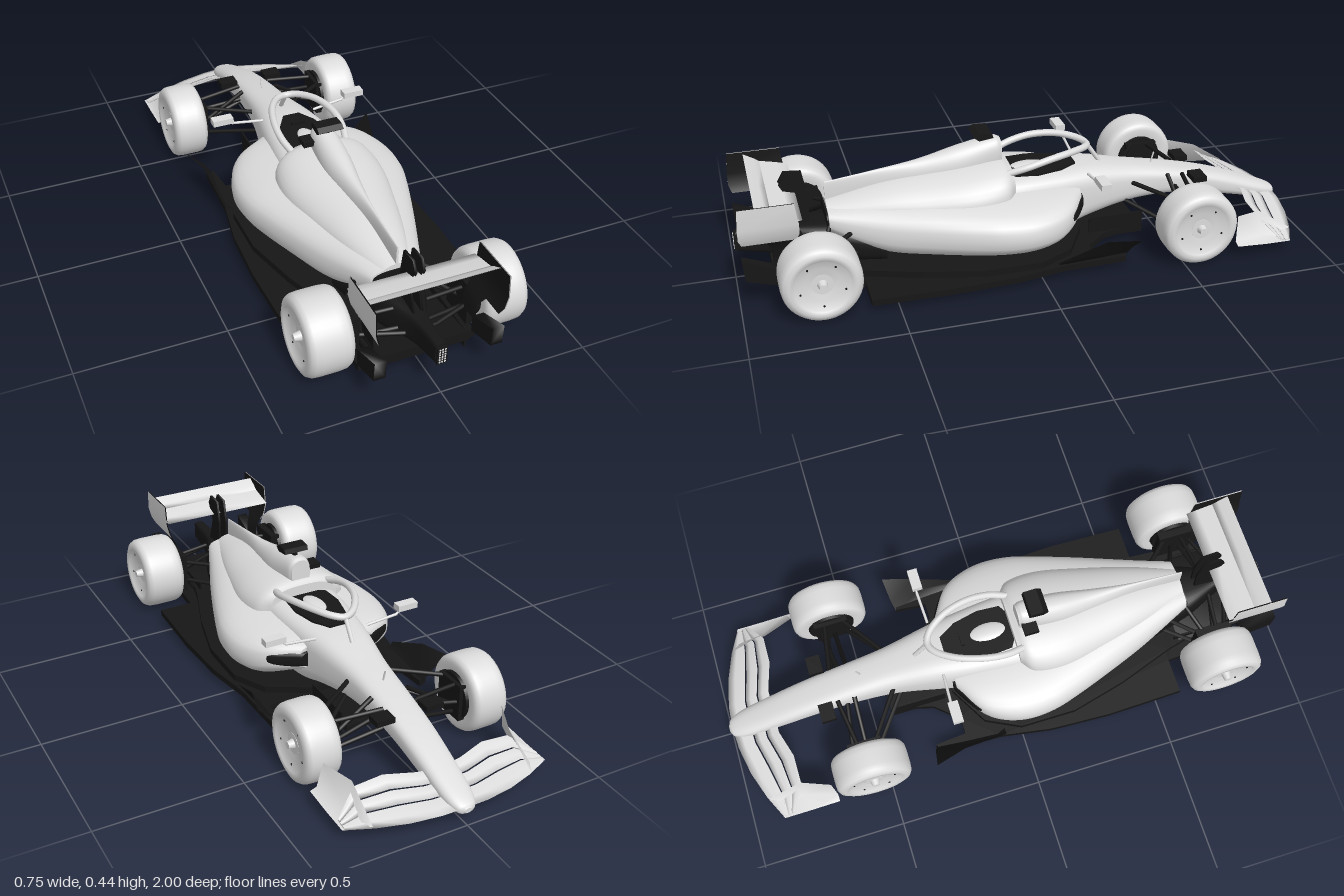
import * as THREE from 'three';

const V = (x, y, z) => new THREE.Vector3(x, y, z);
const SIDES = [1, -1];

export function createModel() {
  const car = new THREE.Group();
  const light = new THREE.MeshStandardMaterial({ color: 0xdcdcdc, side: THREE.DoubleSide });
  light.name = 'pale bodywork';
  const dark = new THREE.MeshStandardMaterial({ color: 0x161616, side: THREE.DoubleSide });
  dark.name = 'black carbon';

  const add = (name, geometry, material) => {
    const mesh = new THREE.Mesh(geometry, material);
    mesh.name = name;
    car.add(mesh);
    return mesh;
  };
  const box = (name, w, h, d, x, y, z, material) =>
    add(name, new THREE.BoxGeometry(w, h, d).translate(x, y, z), material);

  // Closed skin over a row of rings, capped at both ends and wound outwards
  function skin(rings) {
    const n = rings[0].length, pos = [], idx = [];
    const all = [...rings, rings[0], rings.at(-1)];
    all.forEach(r => r.forEach(p => pos.push(p.x, p.y, p.z)));
    for (let i = 0; i < rings.length - 1; i++)
      for (let j = 0; j < n; j++) {
        const a = i * n + j, b = i * n + (j + 1) % n;
        idx.push(a, b, b + n, a, b + n, a + n);
      }
    const s = rings.length * n;
    for (let j = 1; j < n - 1; j++) idx.push(s, s + j + 1, s + j, s + n, s + n + j, s + n + j + 1);
    const at = k => V(pos[3 * k], pos[3 * k + 1], pos[3 * k + 2]);
    let volume = 0;
    for (let k = 0; k < idx.length; k += 3)
      volume += at(idx[k]).dot(at(idx[k + 1]).cross(at(idx[k + 2])));
    if (volume < 0) idx.reverse();
    const g = new THREE.BufferGeometry();
    g.setAttribute('position', new THREE.Float32BufferAttribute(pos, 3));
    g.setIndex(idx);
    g.computeVertexNormals();
    return g;
  }

  // Body loft through stations of [z, half width, bottom, top, corner exponent]
  function loft(stations, steps = 40) {
    const one = new THREE.CatmullRomCurve3(stations.map(s => V(s[0], s[1], 0)), false, 'catmullrom');
    const two = new THREE.CatmullRomCurve3(stations.map(s => V(s[2], s[3], s[4])), false, 'catmullrom');
    const pow = (v, e) => Math.sign(v) * Math.abs(v) ** e;
    const rings = [];
    for (let i = 0; i <= steps; i++) {
      const p = one.getPoint(i / steps), q = two.getPoint(i / steps), ring = [];
      for (let j = 0; j < 36; j++) {
        const a = (j / 36) * Math.PI * 2;
        ring.push(V(p.y * pow(Math.cos(a), q.z), (q.x + q.y) / 2 + ((q.y - q.x) / 2) * pow(Math.sin(a), q.z), p.x));
      }
      rings.push(ring);
    }
    return skin(rings);
  }

  // Wing through stations of [x, lead z, lead y, trail z, trail y]; from and to pick a part of the chord
  const wing = (stations, from, to, thick, bend) => skin(stations.map(([x, z0, y0, z1, y1]) => {
    const at = (f, dy) => V(x, y0 + (y1 - y0) * f ** bend + dy, z0 + (z1 - z0) * f);
    const mid = from + (to - from) * 0.4;
    return [at(from, 0), at(mid, thick), at(to, 0.001), at(to, -0.001), at(mid, -thick)];
  }));

  // Thin open sheet over rows of [x, y, z], mirrored by side
  function sheet(rows, side) {
    const n = rows[0].length, idx = [];
    for (let i = 0; i < rows.length - 1; i++)
      for (let j = 0; j < n - 1; j++) {
        const a = i * n + j;
        idx.push(a, a + 1, a + n + 1, a, a + n + 1, a + n);
      }
    const g = new THREE.BufferGeometry();
    g.setAttribute('position', new THREE.Float32BufferAttribute(rows.flat().flatMap(([x, y, z]) => [x * side, y, z]), 3));
    g.setIndex(idx);
    g.computeVertexNormals();
    return g;
  }

  const bar = (name, a, b, r, material) => add(name, new THREE.TubeGeometry(new THREE.LineCurve3(a, b), 1, r, 8), material);

  // Flat plate cut from an outline of [x, z], extruded upward from y
  function plate(outline, y, h) {
    const half = outline.map(([x, z]) => new THREE.Vector2(x, -z));
    const other = outline.map(([x, z]) => new THREE.Vector2(-x, -z)).reverse();
    return new THREE.ExtrudeGeometry(new THREE.Shape([...half, ...other]), { depth: h, bevelEnabled: false })
      .rotateX(-Math.PI / 2).translate(0, y, 0);
  }

  // Nose, chassis, sidepods, engine cover and fin
  add('noseAndChassis', loft([
    [-1, 0.012, 0.05, 0.066, 0.9], [-0.985, 0.034, 0.042, 0.08, 0.85], [-0.93, 0.05, 0.045, 0.105, 0.8],
    [-0.8, 0.058, 0.075, 0.155, 0.7], [-0.68, 0.063, 0.105, 0.192, 0.65], [-0.55, 0.068, 0.12, 0.223, 0.65],
    [-0.4, 0.079, 0.115, 0.252, 0.65], [-0.25, 0.105, 0.09, 0.278, 0.6], [-0.12, 0.125, 0.06, 0.284, 0.5],
    [0.05, 0.14, 0.06, 0.288, 0.5], [0.2, 0.13, 0.06, 0.28, 0.6]], 60), light);
  add('sidepods', loft([
    [-0.19, 0.14, 0.135, 0.235, 0.6], [-0.135, 0.23, 0.11, 0.243, 0.65], [-0.07, 0.278, 0.075, 0.25, 0.7],
    [0.02, 0.303, 0.058, 0.255, 0.75], [0.12, 0.298, 0.055, 0.258, 0.75], [0.22, 0.27, 0.055, 0.26, 0.75],
    [0.35, 0.224, 0.06, 0.26, 0.75], [0.48, 0.174, 0.07, 0.256, 0.75], [0.58, 0.132, 0.105, 0.252, 0.75],
    [0.68, 0.09, 0.165, 0.243, 0.7]], 54), light);
  add('sidepodIntakes', loft([
    [-0.198, 0.136, 0.15, 0.212, 0.5], [-0.17, 0.185, 0.145, 0.215, 0.5],
    [-0.14, 0.229, 0.15, 0.21, 0.5], [-0.12, 0.24, 0.16, 0.2, 0.5]], 8), dark);
  add('engineCover', loft([
    [0.045, 0.13, 0.18, 0.325, 0.7], [0.09, 0.175, 0.13, 0.342, 0.85], [0.2, 0.185, 0.12, 0.336, 0.95],
    [0.35, 0.155, 0.13, 0.318, 1], [0.5, 0.115, 0.15, 0.296, 1], [0.68, 0.06, 0.17, 0.255, 1]]), light);
  add('airbox', loft([
    [0.068, 0.036, 0.31, 0.408, 0.8], [0.1, 0.045, 0.29, 0.414, 0.8], [0.22, 0.05, 0.25, 0.392, 0.9],
    [0.35, 0.033, 0.24, 0.362, 0.9], [0.5, 0.013, 0.23, 0.342, 0.9], [0.68, 0.004, 0.23, 0.32, 0.8]]), light);
  add('rearOutlet', loft([[0.67, 0.08, 0.176, 0.236, 0.7], [0.686, 0.084, 0.174, 0.236, 0.7]], 2), dark);

  // Cockpit with seat and steering wheel
  add('cockpitOpening', plate([[0.03, -0.2], [0.065, -0.14], [0.085, -0.05], [0.08, 0.03], [0.05, 0.048]], 0.27, 0.019), dark);
  const seat = add('seat', new THREE.SphereGeometry(1, 20, 14), light);
  seat.scale.set(0.036, 0.016, 0.07);
  seat.position.set(0, 0.282, -0.035);
  box('steeringWheel', 0.05, 0.02, 0.012, 0, 0.29, -0.13, dark);

  // Protective hoop over the cockpit
  add('halo', new THREE.TubeGeometry(new THREE.CatmullRomCurve3([
    V(0.1, 0.312, 0.065), V(0.114, 0.332, 0), V(0.11, 0.35, -0.08), V(0.082, 0.355, -0.17), V(0.035, 0.347, -0.235),
    V(0, 0.342, -0.25), V(-0.035, 0.347, -0.235), V(-0.082, 0.355, -0.17), V(-0.11, 0.35, -0.08),
    V(-0.114, 0.332, 0), V(-0.1, 0.312, 0.065)]), 60, 0.0125, 10), light);
  bar('haloPillar', V(0, 0.345, -0.248), V(0, 0.268, -0.3), 0.008, light);

  // Cameras and antenna
  add('roofCamera', skin([-0.045, 0.045].map(x =>
    [V(x, 0.427, 0.1), V(x, 0.42, 0.15), V(x, 0.434, 0.168), V(x, 0.446, 0.15), V(x, 0.444, 0.105)])).toNonIndexed(), dark)
    .geometry.computeVertexNormals();
  box('roofCameraStalk', 0.012, 0.03, 0.03, 0, 0.418, 0.12, dark);
  box('sideCamera', 0.042, 0.018, 0.05, -0.06, 0.37, 0.1, dark);
  bar('antenna', V(0, 0.235, -0.5), V(0, 0.272, -0.51), 0.003, light);

  // Floor, front tongue and diffuser
  add('floor', plate([[0.09, -0.43], [0.13, -0.28], [0.2, -0.2], [0.26, -0.2], [0.27, -0.31], [0.3, -0.3], [0.305, -0.08],
    [0.335, 0.1], [0.345, 0.32], [0.338, 0.59], [0.215, 0.59], [0.2, 0.84]], 0.02, 0.022), dark);
  add('upperFloor', plate([[0.1, -0.2], [0.24, -0.12], [0.3, 0], [0.3, 0.2], [0.25, 0.4], [0.18, 0.6], [0.13, 0.8]], 0.035, 0.03), dark);
  add('diffuser', skin([[0.6, 0.02, 0.06], [0.88, 0.055, 0.09]].map(([z, b, t]) =>
    [V(-0.16, b, z), V(0.16, b, z), V(0.16, t, z), V(-0.16, t, z)])), dark);
  add('gearbox', loft([[0.5, 0.14, 0.04, 0.16, 0.7], [0.6, 0.12, 0.04, 0.185, 0.7], [0.72, 0.085, 0.05, 0.19, 0.6],
    [0.85, 0.03, 0.08, 0.18, 0.5], [0.985, 0.02, 0.11, 0.182, 0.4]], 20), dark);

  // Rear light: a black block with rows of pale dots
  box('rearLight', 0.034, 0.062, 0.01, 0, 0.143, 0.988, dark);
  for (let i = 0; i < 3; i++)
    for (let j = 0; j < 6; j++)
      box('rearLightDot', 0.005, 0.005, 0.003, (i - 1) * 0.009, 0.12 + j * 0.0095, 0.9935, light);

  // Rear wing
  const rearSpan = [-0.214, 0, 0.214].map(x => [x, 0.778, 0.302, 0.925, 0.356]);
  add('rearWingMain', wing(rearSpan, 0, 0.64, 0.007, 2), light);
  add('rearWingFlap', wing(rearSpan, 0.62, 1, 0.004, 2), light);

  // Front wing elements
  const frontSpan = [-0.36, -0.28, -0.18, -0.08, 0, 0.08, 0.18, 0.28, 0.36].map(x => {
    const a = Math.abs(x);
    return [x, -0.99 + 0.75 * a * a, 0.062 - 0.05 * a, a < 0.1 ? -0.83 : a > 0.3 ? -0.85 : -0.8, a > 0.3 ? 0.055 : 0.1 + 0.02 * Math.sin(a * 9)];
  });
  [[0, 0.4], [0.43, 0.7], [0.73, 1]].forEach(([f, t], i) => add('frontWingElement' + (i + 1), wing(frontSpan, f, t, 0.004, 1.4), light));

  // Tyre and wheel cover profile: [radius share, offset share]
  const tyre = [[0.4, -0.9], [0.66, -0.95], [0.82, -1], [0.93, -0.9], [0.985, -0.72], [1, -0.4], [1, 0.4], [0.985, 0.72],
    [0.93, 0.9], [0.82, 1], [0.7, 0.97], [0.68, 0.86], [0.45, 0.78], [0.26, 0.72]];
  const wheel = (name, s, z, r, width) => {
    const turn = g => g.rotateZ(-s * Math.PI / 2).translate(s * (0.37 - width / 2), r + 0.002, z);
    const h = width / 2;
    add(name + 'Tyre', turn(new THREE.LatheGeometry(tyre.map(([a, b]) => new THREE.Vector2(a * r, b * h)), 48)), light);
    add(name + 'HubRecess', turn(new THREE.CylinderGeometry(0.27 * r, 0.27 * r, 0.01, 24).translate(0, 0.66 * h, 0)), light);
    add(name + 'Nut', turn(new THREE.CylinderGeometry(0.012, 0.018, 0.4 * h, 16).translate(0, 0.85 * h, 0)), light);
    add(name + 'BrakeDrum', turn(new THREE.CylinderGeometry(0.66 * r, 0.6 * r, 0.5 * h, 28).translate(0, -0.85 * h, 0)), dark);
    for (let i = 0; i < 5; i++) {
      const a = (i / 5) * Math.PI * 2;
      add(name + 'Vent', turn(new THREE.CylinderGeometry(0.0035, 0.0035, 0.004, 8)
        .translate(Math.cos(a) * r * 0.57, 0.825 * h, Math.sin(a) * r * 0.57)), dark);
    }
  };

  for (const s of SIDES) {
    wheel('rearWheel', s, 0.745, 0.134, 0.152);
    wheel('frontWheel', s, -0.552, 0.134, 0.127);

    // Suspension arms from [inner point] to [outer point]
    [[0.06, 0.2, -0.6, 0.26, 0.19, -0.57], [0.07, 0.2, -0.4, 0.26, 0.19, -0.53], [0.06, 0.13, -0.6, 0.26, 0.08, -0.57],
      [0.07, 0.13, -0.38, 0.26, 0.08, -0.53], [0.06, 0.16, -0.57, 0.26, 0.13, -0.6], [0.065, 0.21, -0.54, 0.25, 0.09, -0.55],
      [0.06, 0.175, 0.78, 0.22, 0.165, 0.76], [0.08, 0.175, 0.58, 0.22, 0.165, 0.73], [0.05, 0.11, 0.8, 0.22, 0.09, 0.76],
      [0.1, 0.1, 0.58, 0.22, 0.09, 0.73], [0.08, 0.19, 0.68, 0.21, 0.1, 0.745], [0.05, 0.13, 0.85, 0.22, 0.13, 0.79],
    ].forEach(([a, b, c, d, e, f]) => bar('suspensionArm', V(s * a, b, c), V(s * d, e, f), 0.008, dark));
    box('rearBrakeDuct', 0.035, 0.15, 0.13, s * 0.202, 0.125, 0.745, dark);
    box('frontBrakeDuct', 0.03, 0.13, 0.12, s * 0.238, 0.135, -0.552, dark);
    box('frontWinglet', 0.065, 0.02, 0.05, s * 0.09, 0.2, -0.645, dark);

    // Mirror on its stalk
    box('mirror', 0.075, 0.022, 0.035, s * 0.253, 0.309, -0.225, light);
    bar('mirrorStalk', V(s * 0.1, 0.272, -0.225), V(s * 0.215, 0.286, -0.23), 0.005, light);
    bar('mirrorPost', V(s * 0.21, 0.286, -0.23), V(s * 0.242, 0.302, -0.228), 0.004, light);

    // Floor fences
    add('floorFence', sheet([
      [[0.27, 0.03, -0.31], [0.3, 0.07, -0.32], [0.366, 0.132, -0.33]],
      [[0.28, 0.03, -0.2], [0.31, 0.07, -0.2], [0.335, 0.128, -0.22]],
      [[0.27, 0.04, -0.06], [0.3, 0.045, -0.06], [0.31, 0.06, -0.06]]], s), dark);
    box('bargeBoard', 0.006, 0.08, 0.2, s * 0.11, 0.06, -0.33, dark);
    box('diffuserFence', 0.006, 0.07, 0.24, s * 0.15, 0.055, 0.75, dark);
    add('diffuserWinglet', skin([0.175, 0.214].map(x =>
      [V(s * x, 0.07, 0.86), V(s * x, 0.105, 0.975), V(s * x, 0.175, 0.98), V(s * x, 0.13, 0.86)])), dark);

    // Front wing endplate: an upright fin with a flat outer foot
    add('frontWingEndplate', sheet([
      [[0.368, 0.045, -0.89], [0.31, 0.042, -0.91], [0.285, 0.052, -0.925]],
      [[0.368, 0.046, -0.8], [0.31, 0.05, -0.8], [0.285, 0.135, -0.8]],
      [[0.368, 0.052, -0.69], [0.345, 0.06, -0.69], [0.328, 0.15, -0.7]]], s), light);

    // Rear wing endplate: pale outside, black inside, curling in below
    const rows = off => [[0.217, 0.365, 0.8, 0.98], [0.217, 0.29, 0.79, 0.985], [0.207, 0.25, 0.79, 0.985], [0.195, 0.225, 0.8, 0.975]]
      .map(([x, y, a, b]) => [[x - off, y, a], [x - off, y, b]]);
    add('rearEndplateOuter', sheet(rows(0), s), light);
    add('rearEndplateInner', sheet(rows(0.004), s), dark);
    add('rearEndplateStem', sheet([[0.193, 0.226, 0.8, 0.9], [0.175, 0.19, 0.8, 0.88], [0.17, 0.13, 0.8, 0.88]]
      .map(([x, y, a, b]) => [[x, y, a], [x, y, b]]), s), dark);
    add('wingPylon', skin([0.01, 0.018].map(x => [V(s * x, 0.16, 0.74), V(s * x, 0.16, 0.84), V(s * x, 0.29, 0.79),
      V(s * x, 0.335, 0.83), V(s * x, 0.37, 0.81), V(s * x, 0.365, 0.75), V(s * x, 0.28, 0.735)])), dark);
  }
  return car;
}
